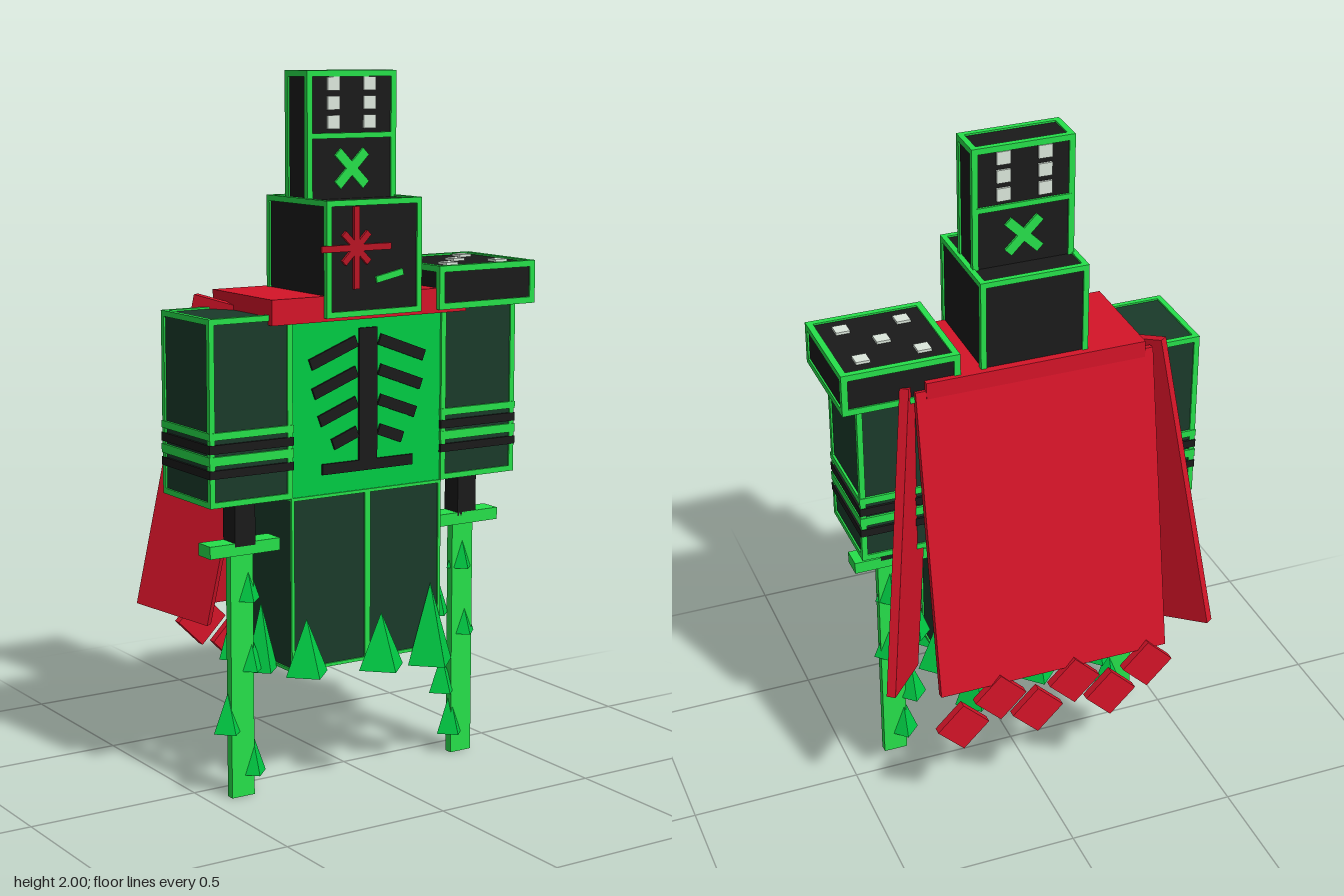
import * as THREE from 'three';

const mat = (name, color, extra = {}) => {
  const m = new THREE.MeshStandardMaterial({ color, ...extra });
  m.name = name;
  return m;
};

export function createModel() {
  const root = new THREE.Group();
  root.name = 'armouredFigure';
  const trim = mat('bright green trim', 0x26e04a);
  const green = mat('green', 0x00cc44, { flatShading: true });
  const panel = mat('dark green panel', 0x1a3a2a);
  const black = mat('black', 0x1a1a1a);
  const red = mat('red cloth', 0xd41428);
  const scarlet = mat('dark red scar', 0xb81424);
  const pale = mat('pale pips', 0xdde8dd);
  const MID = -0.025; // the body's own centre line

  const group = (name, parent = root) => {
    const g = new THREE.Group();
    g.name = name;
    parent.add(g);
    return g;
  };
  const add = (name, geo, material, parent = root) => {
    const m = new THREE.Mesh(geo, material);
    m.name = name;
    parent.add(m);
    return m;
  };
  // box given by its limits on each axis
  const box = (name, [x0, x1], [y0, y1], [z0, z1], material, parent) => {
    const m = add(name, new THREE.BoxGeometry(x1 - x0, y1 - y0, z1 - z0), material, parent);
    m.position.set((x0 + x1) / 2, (y0 + y1) / 2, (z0 + z1) / 2);
    return m;
  };
  // box given by centre, size and roll
  const bar = (name, x, y, z, w, h, d, roll, material, parent) => {
    const m = add(name, new THREE.BoxGeometry(w, h, d), material, parent);
    m.position.set(x, y, z);
    m.rotation.z = roll;
    return m;
  };
  // panelled box with a raised bar along each of its twelve edges
  const framed = (name, X, Y, Z, t, fill, parent) => {
    const g = group(name, parent);
    const lim = [X, Y, Z], e = 0.005;
    box(name + 'Panel', ...lim.map(([a, b]) => [a + e, b - e]), fill, g);
    for (let axis = 0; axis < 3; axis++) {
      const [u, v] = [(axis + 1) % 3, (axis + 2) % 3];
      for (const i of [0, 1]) for (const j of [0, 1]) {
        const r = [];
        r[axis] = lim[axis];
        r[u] = i ? [lim[u][1] - t, lim[u][1]] : [lim[u][0], lim[u][0] + t];
        r[v] = j ? [lim[v][1] - t, lim[v][1]] : [lim[v][0], lim[v][0] + t];
        box(name + 'Edge', ...r, trim, g);
      }
    }
    return g;
  };
  const spike = (x, y0, y1, z, r, parent) => {
    const m = add('spike', new THREE.ConeGeometry(r, y1 - y0, 4), green, parent);
    m.position.set(x, (y0 + y1) / 2, z);
  };

  // head and tall hat
  framed('head', [-0.18, 0.132], [1.337, 1.655], [-0.122, 0.194], 0.016, black);
  const hat = framed('hat', [-0.17, 0.122], [1.63, 2], [-0.037, 0.08], 0.017, black);
  for (const z of [-0.034, 0.077]) {
    for (const x of [-0.085, 0.033])
      for (const y of [1.86, 1.912, 1.964]) bar('hatPip', x, y, z, 0.039, 0.037, 0.009, 0, pale, hat);
    bar('hatStripe', MID, 1.823, z, 0.27, 0.015, 0.009, 0, trim, hat);
    for (const s of [-1, 1]) bar('hatCross', MID, 1.733, z, 0.13, 0.027, 0.009, s * Math.PI / 4, trim, hat);
  }
  const face = group('face');
  bar('mouth', 0.025, 1.443, 0.191, 0.09, 0.018, 0.009, 0.2, trim, face);
  for (let i = 0; i < 4; i++)
    bar('starScar', -0.085, 1.525, 0.193, i % 2 ? 0.115 : 0.225, 0.018, 0.009, i * Math.PI / 4, scarlet, face);

  // torso with ribcage
  box('torso', [-0.276, 0.226], [0.845, 1.345], [-0.09, 0.158], green);
  const ribs = group('ribcage');
  box('sternum', [-0.055, 0.005], [0.92, 1.3], [0.155, 0.164], black, ribs);
  box('lowerBar', [-0.175, 0.125], [0.9, 0.93], [0.155, 0.164], black, ribs);
  [0.16, 0.15, 0.13, 0.085].forEach((len, i) => {
    for (const s of [-1, 1])
      bar('rib', MID + s * (0.033 + len / 2), 1.237 - i * 0.085 + (0.08 - len / 2) * 0.4, 0.16,
        len, 0.032, 0.009, -s * 0.36, black, ribs);
  });

  // paired legs, arms and swords
  const bladeSpikes = {
    right: [[-0.04, 0.19, 0.3], [0.036, 0.06, 0.18], [0.03, 0.36, 0.47], [0.02, 0.56, 0.68]],
    left: [[-0.06, 0.19, 0.3], [-0.03, 0.06, 0.18], [0.01, 0.36, 0.47], [0, 0.56, 0.68]],
  };
  for (const s of [-1, 1]) {
    const side = s > 0 ? 'left' : 'right';
    const span = (a, b) => (s > 0 ? [MID + a, MID + b] : [MID - b, MID - a]);
    framed(side + 'Leg', span(0, 0.25), [0.352, 0.845], [-0.09, 0.162], 0.009, panel);

    const arm = framed(side + 'Arm', span(0.247, 0.506), [0.845, 1.355], [-0.1, 0.165], 0.016, panel);
    for (const [y0, y1, m] of [[1.03, 1.05, trim], [0.993, 1.017, black], [0.96, 0.985, trim], [0.925, 0.948, black]])
      box(side + 'ArmBand', span(0.245, 0.508), [y0, y1], [-0.102, 0.167], m, arm);

    const sword = group(side + 'Sword');
    const cx = MID + s * 0.373;
    box('handle', [cx - 0.032, cx + 0.032], [0.72, 0.85], [0.055, 0.12], black, sword);
    box('guard', [cx - 0.11, cx + 0.11], [0.695, 0.73], [0.055, 0.12], trim, sword);
    box('blade', [cx - 0.036, cx + 0.036], [0, 0.7], [0.075, 0.1], trim, sword);
    for (const [dx, y0, y1] of bladeSpikes[side]) spike(cx + dx, y0, y1, 0.085, 0.045, sword);
  }

  // shoulder slab with five pips, on the left only
  const slab = framed('shoulderSlab', [0.193, 0.528], [1.337, 1.46], [-0.128, 0.195], 0.018, black);
  for (const [i, j] of [[-1, -1], [1, -1], [0, 0], [-1, 1], [1, 1]])
    bar('slabPip', 0.361 + i * 0.087, 1.458, 0.033 + j * 0.087, 0.04, 0.009, 0.04, 0, pale, slab);

  // spikes around the hem
  const hem = group('hemSpikes');
  for (const [x, y0, y1, z, r] of [
    [-0.237, 0.347, 0.505, 0.177, 0.068], [MID, 0.347, 0.505, 0.231, 0.074], [0.185, 0.315, 0.55, 0.17, 0.076],
    [-0.32, 0.347, 0.54, 0.07, 0.052], [0.275, 0.425, 0.55, 0.07, 0.045],
    [-0.315, 0.347, 0.52, -0.08, 0.055], [0.27, 0.41, 0.53, -0.08, 0.05],
    [-0.22, 0.347, 0.5, -0.13, 0.06], [MID, 0.347, 0.5, -0.15, 0.06], [0.18, 0.32, 0.49, -0.17, 0.06],
  ]) spike(x, y0, y1, z, r, hem);

  // collar and cape
  const cape = group('cape');
  box('collar', [-0.345, 0.295], [1.327, 1.397], [-0.14, 0.18], red, cape);
  // flat sheet from its top-left corner, a width vector and a drop vector
  const sheet = (name, corner, width, drop, t) => {
    const w = new THREE.Vector3(...width), d = new THREE.Vector3(...drop);
    const n = w.clone().cross(d).normalize();
    const up = d.clone().normalize().negate();
    const right = up.clone().cross(n).normalize();
    const m = add(name, new THREE.BoxGeometry(w.length(), d.length(), t), red, cape);
    m.quaternion.setFromRotationMatrix(new THREE.Matrix4().makeBasis(right, up, right.clone().cross(up)));
    m.position.set(...corner).addScaledVector(w, 0.5).addScaledVector(d, 0.5);
  };
  sheet('capeBack', [-0.37, 1.37, -0.125], [0.695, 0, 0], [0, -0.91, -0.16], 0.022);
  for (const s of [-1, 1])
    sheet('capeWing', [MID + s * 0.38, 1.385, -0.13], [-s * 0.13, -0.04, 0.18], [s * 0.115, -0.895, -0.15], 0.026);
  // ragged squares along the lower edge
  for (let i = 0; i < 6; i++)
    bar('tatter', -0.31 + i * 0.114, i % 2 ? 0.337 : 0.412, -0.295 + i * 0.002, 0.11, 0.11, 0.024,
      Math.PI / 4, red, cape);

  return root;
}
